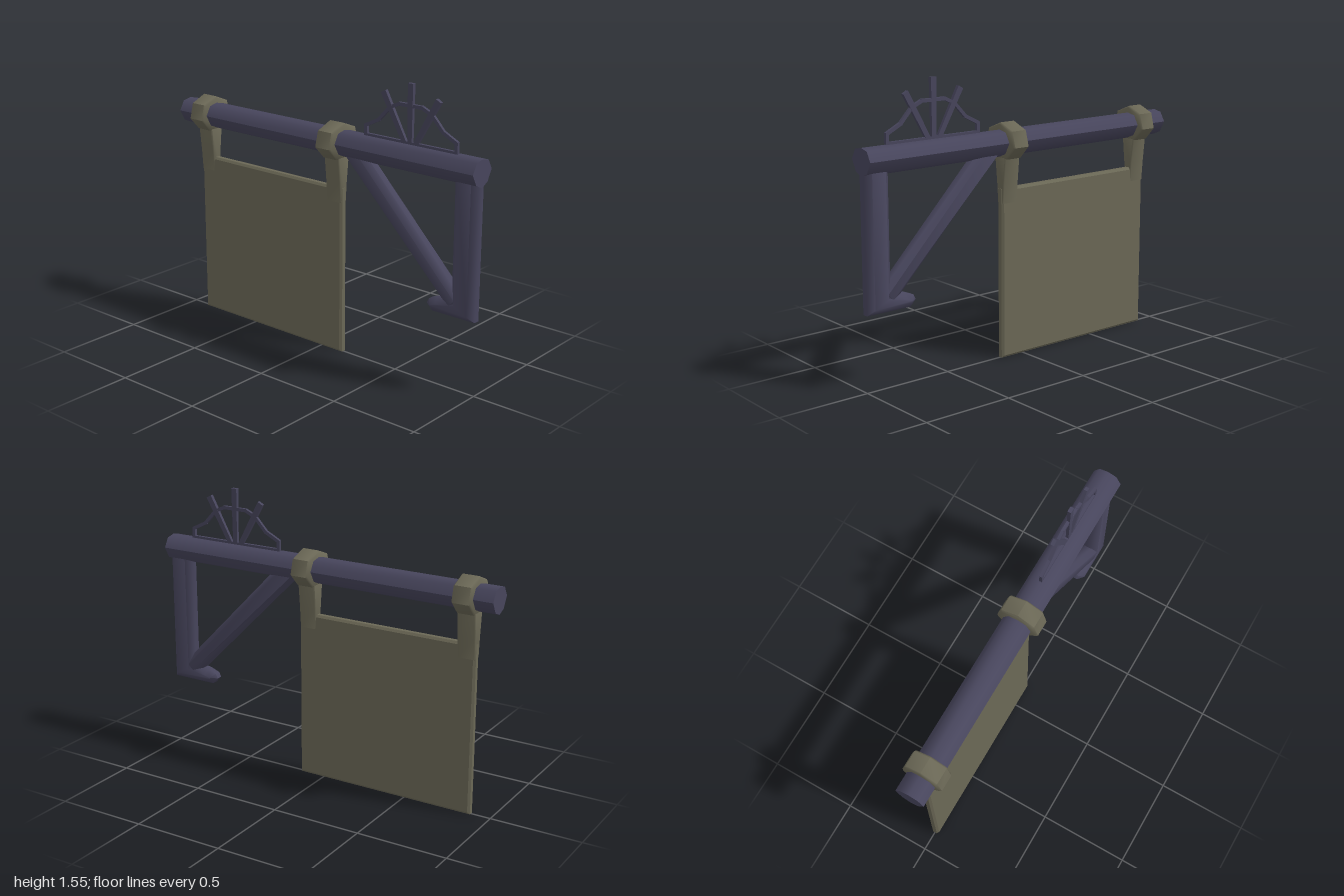
import * as THREE from 'three';
import { toCreasedNormals } from 'three/addons/utils/BufferGeometryUtils.js';

const iron = new THREE.MeshStandardMaterial({ color: 0x47455c });
iron.name = 'dark iron';
const cloth = new THREE.MeshStandardMaterial({ color: 0x6b6856 });
cloth.name = 'olive cloth';

const outline = (pts) => new THREE.Shape(pts.map(([a, b]) => new THREE.Vector2(a, b)));

// Extrude an outline to a centred depth, with an inset chamfer on both faces.
function prism(pts, depth, bevel = 0, bevelDepth = bevel) {
  const geo = new THREE.ExtrudeGeometry(outline(pts), {
    depth: depth - 2 * bevelDepth,
    bevelEnabled: bevel > 0,
    bevelSize: bevel,
    bevelOffset: -bevel,
    bevelThickness: bevelDepth,
    bevelSegments: 1,
  });
  return geo.translate(0, 0, -depth / 2 + bevelDepth);
}

// Outline given as [z, y], thickness along x.
const sidePrism = (...args) => prism(...args).rotateY(-Math.PI / 2);

export function createModel() {
  const model = new THREE.Group();
  model.name = 'hangingBannerSign';
  const add = (name, geo, mat, crease = 0.85) => {
    const mesh = new THREE.Mesh(toCreasedNormals(geo, crease), mat);
    mesh.name = name;
    model.add(mesh);
    return mesh;
  };

  // Long horizontal beam with an eight-sided section
  add('beam', prism([
    [0, 1.1], [0.047, 1.12], [0.08, 1.18], [0.05, 1.232],
    [0, 1.243], [-0.05, 1.232], [-0.08, 1.18], [-0.047, 1.12],
  ], 2), iron);

  // Upright post with its rounded foot
  add('post', sidePrism([
    [1, 0.405], [1, 1.16], [0.86, 1.16], [0.86, 0.5], [0.77, 0.485],
    [0.72, 0.465], [0.708, 0.44], [0.74, 0.405],
  ], 0.094, 0.03, 0.03), iron);

  // Diagonal brace
  add('brace', sidePrism([
    [0.86, 0.43], [0.93, 0.5], [0.285, 1.16], [0.13, 1.16],
  ], 0.09, 0.028, 0.025), iron);

  // Cloth panel with chamfered edges
  add('banner', sidePrism([
    [0.145, 0], [0.145, 0.93], [-0.89, 0.93], [-0.89, 0],
  ], 0.044, 0.012, 0.01), cloth, 0.5);

  // Flared straps and seven-sided collars around the beam
  for (const [z, rx] of [[0.0925, 0.122], [-0.84, 0.115]]) {
    const strap = prism([
      [-0.022, 0.85], [0.022, 0.85], [0.03, 0.96], [0.048, 1.14], [-0.048, 1.14], [-0.03, 0.96],
    ], 0.1, 0.006).translate(0, 0, z);
    add('strap', strap, cloth);
    const ring = [];
    for (let i = 0; i < 7; i++) {
      const a = Math.PI / 2 + (i * Math.PI * 2) / 7;
      ring.push([Math.cos(a) * rx, 1.18 + Math.sin(a) * 0.1]);
    }
    add('collar', prism(ring, 0.104, 0.008).translate(0, 0, z), cloth);
  }

  // Thin crest: base rail and arched rod
  const arch = [
    [0.28, 0], [0.28, 0.05], [0.2, 0.09], [0.13, 0.165], [0.07, 0.192],
  ];
  const path = [
    ...arch.map(([d, h]) => [0.57 + d, 1.245 + h]),
    ...arch.map(([d, h]) => [0.57 - d, 1.245 + h]).reverse(),
  ];
  path.push(path[0]);
  for (let i = 0; i < path.length - 1; i++) {
    const [z0, y0] = path[i];
    const [z1, y1] = path[i + 1];
    const len = Math.hypot(z1 - z0, y1 - y0);
    const rod = new THREE.BoxGeometry(0.016, 0.018, len + 0.01)
      .rotateX(-Math.atan2(y1 - y0, z1 - z0))
      .translate(0, (y0 + y1) / 2, (z0 + z1) / 2);
    add('crestRod', rod, iron);
  }

  // Three fanned spikes, widening to the tip
  for (const [base, tilt, len] of [[0.57, 0, 0.32], [0.605, 0.51, 0.295], [0.535, -0.51, 0.295]]) {
    const geo = new THREE.CylinderGeometry(0.5, 0.4, len, 4, 1)
      .rotateY(Math.PI / 4)
      .scale(0.028, 1, 0.046)
      .translate(0, len / 2, 0)
      .rotateX(tilt)
      .translate(0, 1.23, base - tilt * 0.02);
    add('crestSpike', geo, iron);
  }

  return model;
}
